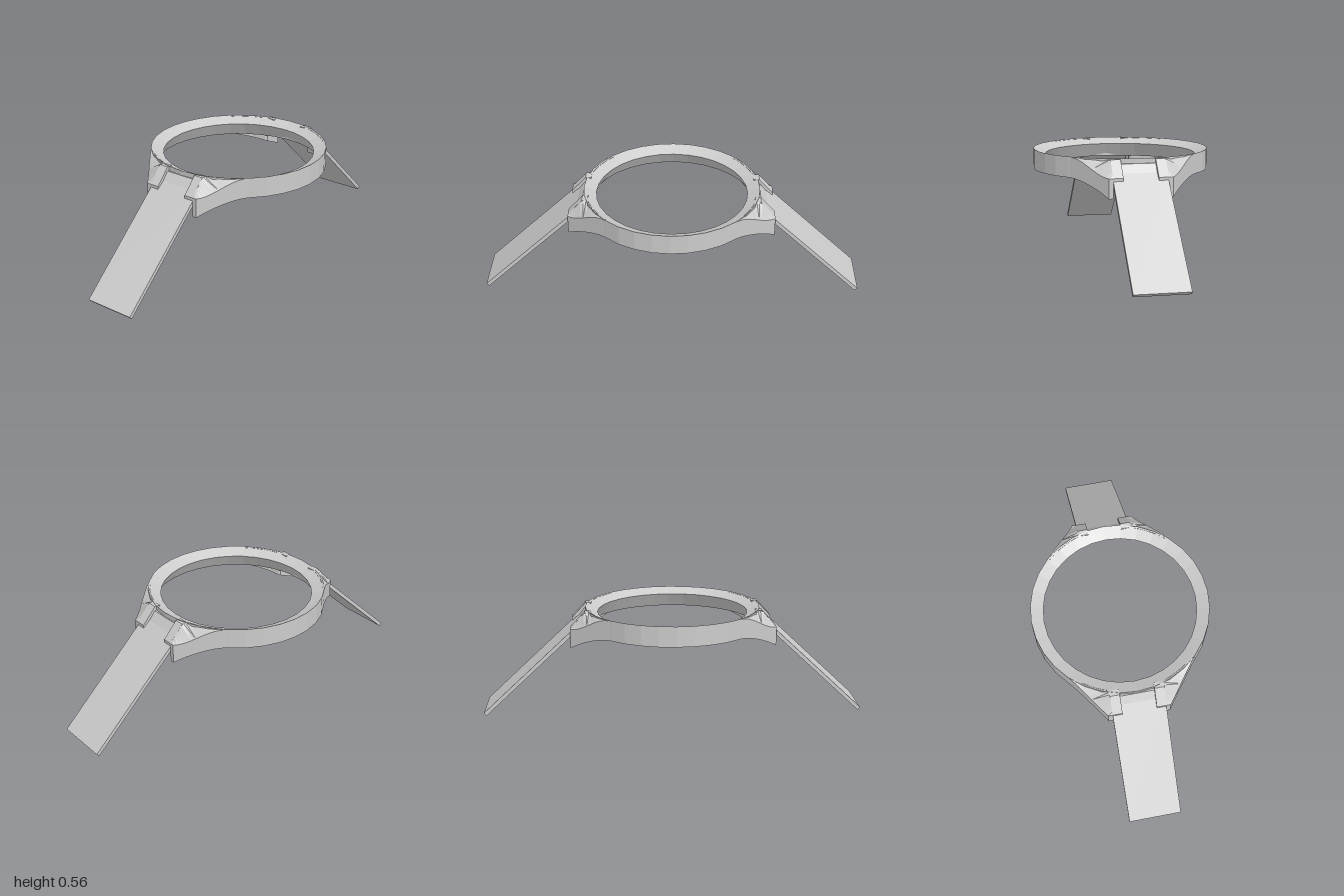
import * as THREE from 'three';

const grey = new THREE.MeshStandardMaterial({ color: 0xcccccc, flatShading: true });

function part(name, geometry, parent) {
  const mesh = new THREE.Mesh(geometry, grey);
  mesh.name = name;
  parent.add(mesh);
  return mesh;
}

// Extrudes a side profile of [z, y] points across x0..x1
function acrossX(profile, x0, x1) {
  const shape = new THREE.Shape(profile.map(([z, y]) => new THREE.Vector2(z, y)));
  return new THREE.ExtrudeGeometry(shape, { depth: x1 - x0, bevelEnabled: false })
    .rotateY(-Math.PI / 2).translate(x1, 0, 0);
}

// Lug: four-cornered sections swept from the ring out to the tip; side is 1 or -1
function lugGeometry(side) {
  const steps = 14, split = 0.45, verts = [], index = [];
  const { lerp, smoothstep } = THREE.MathUtils;
  for (let i = 0; i <= steps; i++) {
    const t = i / steps;
    const ox = lerp(0.322, 0.16, t), oz = lerp(0.328, 0.535, t);
    let ix, iz;
    if (t < split) { // inner edge follows the ring, then runs straight beside the strap
      const a = lerp(0.76, 0.313, t / split);
      ix = 0.45 * Math.sin(a);
      iz = 0.45 * Math.cos(a);
    } else {
      ix = 0.138;
      iz = lerp(0.428, 0.535, (t - split) / (1 - split));
    }
    const outerTop = lerp(0.552, 0.47, smoothstep(t, 0.05, 1));
    const innerTop = 0.552 - 0.082 * Math.max(0, (iz - 0.46) / 0.075);
    const outerBottom = 0.45 - 0.08 * Math.pow(t, 1.7);
    const innerBottom = 0.45 - 0.08 * t;
    verts.push(side * ox, outerTop, oz, side * ox, outerBottom, oz,
      side * ix, innerBottom, iz, side * ix, innerTop, iz);
  }
  const quad = (a, b, c, d) => side > 0
    ? index.push(a, b, c, a, c, d) : index.push(a, c, b, a, d, c);
  for (let i = 0; i < steps; i++) {
    for (let k = 0; k < 4; k++) {
      const a = i * 4 + k, b = i * 4 + (k + 1) % 4;
      quad(a, a + 4, b + 4, b);
    }
  }
  const e = steps * 4;
  quad(e, e + 3, e + 2, e + 1);
  quad(0, 1, 2, 3);
  const g = new THREE.BufferGeometry();
  g.setAttribute('position', new THREE.Float32BufferAttribute(verts, 3));
  g.setIndex(index);
  g.computeVertexNormals();
  return g;
}

// One strap with its pair of lugs, on the +z side
function strapEnd(name) {
  const end = new THREE.Group();
  end.name = name;
  part('strap', acrossX([[0.986, 0], [1, 0.014], [0.495, 0.488], [0.481, 0.474]], -0.138, 0.138), end);
  part('strapBar', acrossX([[0.43, 0.455], [0.475, 0.465], [0.495, 0.488], [0.462, 0.53], [0.43, 0.53]],
    -0.138, 0.138), end);
  for (const side of [1, -1]) {
    part(side > 0 ? 'leftLug' : 'rightLug', lugGeometry(side), end);
    // Tab of the lug lying over the strap
    const [x0, x1] = side > 0 ? [0.088, 0.139] : [-0.139, -0.088];
    part(side > 0 ? 'leftTab' : 'rightTab', acrossX([[0.43, 0.485], [0.5, 0.485], [0.535, 0.455],
      [0.535, 0.47], [0.46, 0.552], [0.43, 0.552]], x0, x1), end);
  }
  return end;
}

export function createModel() {
  const model = new THREE.Group();
  model.name = 'watchCase';

  // Faceted case ring with an inward-sloping top and a tapered inside
  const profile = [[0.44, 0.45], [0.46, 0.45], [0.46, 0.555], [0.395, 0.525], [0.44, 0.45]];
  part('caseRing', new THREE.LatheGeometry(profile.map(([r, y]) => new THREE.Vector2(r, y)), 32), model);

  const front = strapEnd('frontStrapEnd');
  const back = strapEnd('backStrapEnd');
  back.rotation.y = Math.PI;
  model.add(front, back);
  return model;
}
